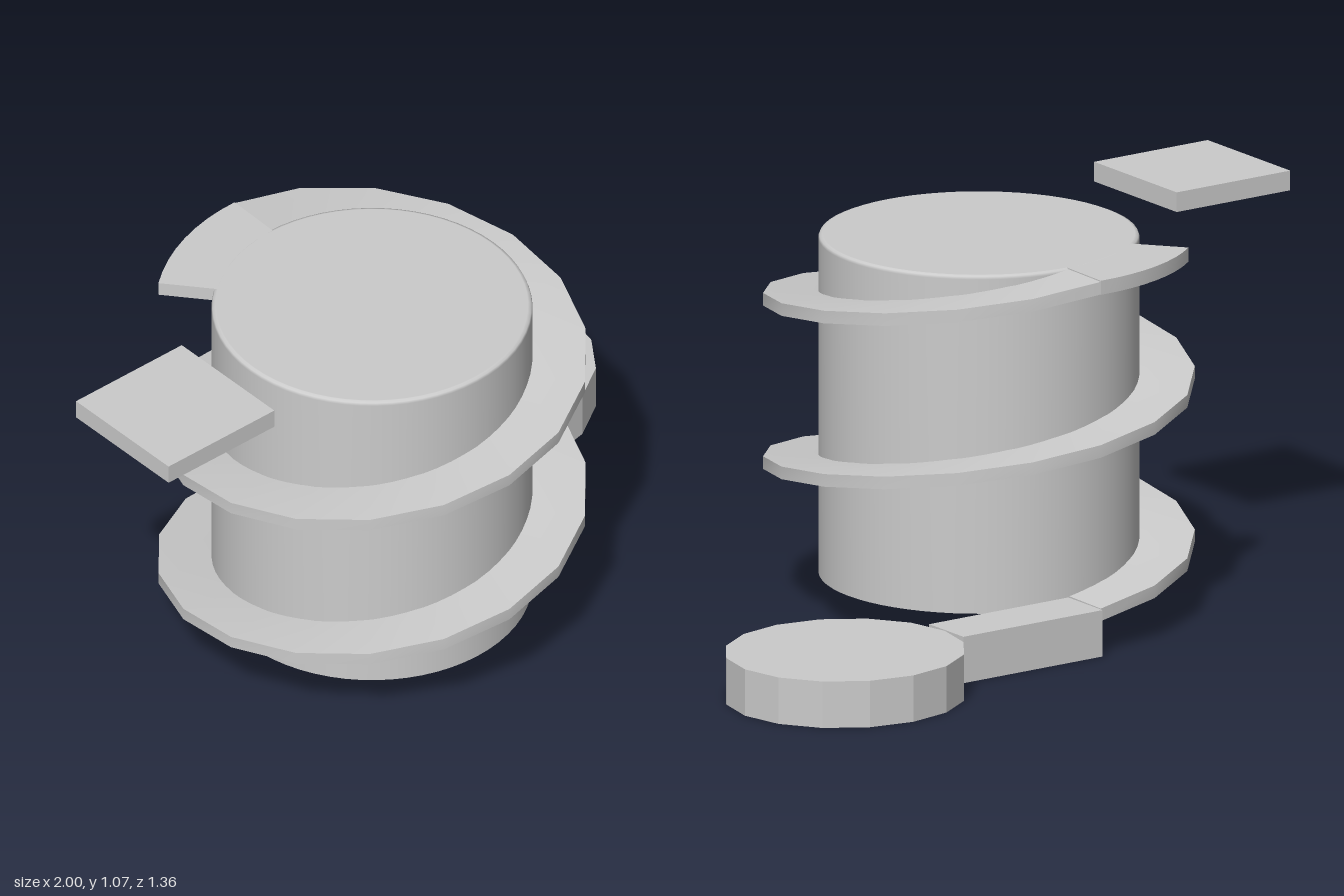
import * as THREE from 'three';

const CX = -0.105, CZ = 0.118;
const R_CORE = 0.417, R_OUT = 0.562;

// Sweeps a shelf section around the core, from the back (a = 0) towards -x.
// heightAt(a) gives the middle height of the shelf at angle a.
function sweepShelf(a0, a1, steps, thickness, heightAt) {
  const positions = [], index = [];
  const h = thickness / 2, rIn = R_CORE - 0.02;
  const profile = [[rIn, h], [R_OUT, h], [R_OUT, -h], [rIn, -h]];
  const addPoint = ([r, dy], a) =>
    positions.push(-r * Math.sin(a), heightAt(a) + dy, -r * Math.cos(a)) / 3 - 1;

  // top, rim and underside, each with its own vertices to keep edges sharp
  for (let s = 0; s < 3; s++) {
    let previous = null;
    for (let i = 0; i <= steps; i++) {
      const a = a0 + (a1 - a0) * i / steps;
      const p = addPoint(profile[s], a), q = addPoint(profile[s + 1], a);
      if (previous) {
        const [p0, q0] = previous;
        index.push(p0, q0, p, q0, q, p);
      }
      previous = [p, q];
    }
  }
  // end caps
  const end = profile.map((c) => addPoint(c, a1));
  index.push(end[0], end[1], end[2], end[0], end[2], end[3]);
  const start = profile.map((c) => addPoint(c, a0));
  index.push(start[0], start[2], start[1], start[0], start[3], start[2]);

  const geometry = new THREE.BufferGeometry();
  geometry.setAttribute('position', new THREE.Float32BufferAttribute(positions, 3));
  geometry.setIndex(index);
  geometry.computeVertexNormals();
  return geometry;
}

export function createModel() {
  const model = new THREE.Group();
  const smooth = new THREE.MeshStandardMaterial({ color: 0xcccccc });
  const flat = new THREE.MeshStandardMaterial({ color: 0xcccccc, flatShading: true });

  const add = (name, geometry, material, x, y, z) => {
    const mesh = new THREE.Mesh(geometry, material);
    mesh.name = name;
    mesh.position.set(x, y, z);
    model.add(mesh);
    return mesh;
  };
  const addBox = (name, x0, x1, y0, y1, z0, z1) =>
    add(name, new THREE.BoxGeometry(x1 - x0, y1 - y0, z1 - z0), flat,
      (x0 + x1) / 2, (y0 + y1) / 2, (z0 + z1) / 2);

  // central tower with a slightly softened rim
  const towerProfile = [
    [0, 0.1], [R_CORE, 0.1], [R_CORE, 0.1], [R_CORE, 1.0],
    [R_CORE - 0.003, 1.007], [R_CORE - 0.01, 1.01], [R_CORE - 0.012, 1.01], [0, 1.01],
  ].map(([r, y]) => new THREE.Vector2(r, y));
  add('towerBase', new THREE.LatheGeometry(towerProfile.slice(0, 2), 64), smooth, CX, 0, CZ);
  add('tower', new THREE.LatheGeometry(towerProfile.slice(2), 64), smooth, CX, 0, CZ);

  // two-turn ramp, rising from the walkway to the top landing
  const pitch = 0.44, turn = Math.PI * 2;
  const startAngle = -0.026;
  add('spiralRamp',
    sweepShelf(startAngle, startAngle + 2 * turn, 36, 0.034, (a) => 0.112 + pitch * a / turn),
    smooth, CX, 0, CZ);

  // level landing at the top of the ramp
  add('topLanding',
    sweepShelf(startAngle, startAngle + 0.72, 8, 0.038, () => 0.991),
    smooth, CX, 0, CZ);

  // low walkway and round platform
  addBox('walkway', -0.09, 0.355, 0, 0.125, -0.452, -0.3);
  const disc = add('roundPlatform', new THREE.CylinderGeometry(1, 1, 0.125, 16), flat,
    0.68, 0.0625, -0.377);
  disc.scale.set(0.32, 1, 0.304);

  // floating square platform
  addBox('squarePlatform', -1, -0.637, 1.012, 1.065, -0.022, 0.345);

  return model;
}
